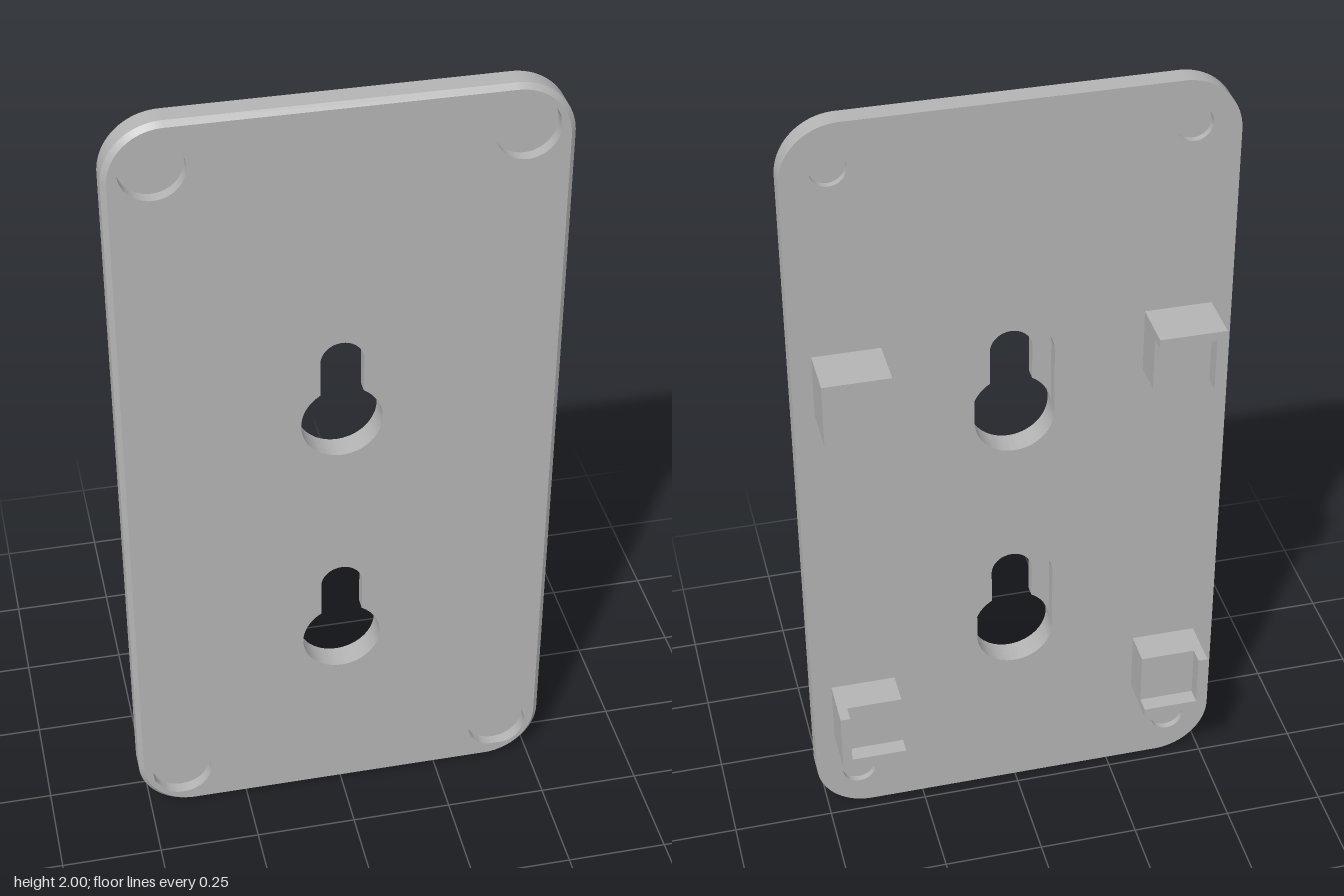
import * as THREE from 'three';
import { toCreasedNormals } from 'three/addons/utils/BufferGeometryUtils.js';

const HALF_W = 0.525, HEIGHT = 2, CORNER = 0.14, CHAMFER = 0.012;
const Z_BACK = 0.031, Z_FRONT = 0.094, Z_CLIP = -0.094;
const KEYHOLES = [0.495, 1.16];          // heights of the round keyhole ends
const SLOT_RISE = 0.172;                 // from round end to slot centre

// Rounded outline of the plate
function outline() {
  const s = new THREE.Shape(), x = HALF_W - CORNER, t = HEIGHT - CORNER, q = Math.PI / 2;
  s.absarc(x, CORNER, CORNER, -q, 0);
  s.absarc(x, t, CORNER, 0, q);
  s.absarc(-x, t, CORNER, q, 2 * q);
  s.absarc(-x, CORNER, CORNER, 2 * q, 3 * q);
  s.closePath();
  return s;
}

// Holes cut through a layer
function circle(x, y, r) {
  return new THREE.Path().absarc(x, y, r, 0, Math.PI * 2);
}
function slot(y, bigR, smallR) {
  const a = Math.acos(smallR / bigR), p = new THREE.Path();
  p.absarc(0, y + SLOT_RISE, smallR, 0, Math.PI);
  p.absarc(0, y, bigR, Math.PI - a, 2 * Math.PI + a);
  p.closePath();
  return p;
}
function cornerHoles(r) {
  return [-1, 1].flatMap(s => [0.112, HEIGHT - 0.112].map(y => circle(s * 0.415, y, r)));
}

// One slice of the plate, optionally chamfered along its front rim
function layer(z0, z1, holes, inset = 0) {
  const shape = outline();
  shape.holes.push(...holes);
  const g = new THREE.ExtrudeGeometry(shape, { depth: z1 - z0, bevelEnabled: false, curveSegments: 24 });
  g.translate(0, 0, z0);
  const p = g.attributes.position, cx = HALF_W - CORNER;
  for (let i = 0; i < p.count && inset; i++) {
    if (p.getZ(i) < z1 - 1e-4) continue;
    const x = p.getX(i), y = p.getY(i);
    const dx = x - THREE.MathUtils.clamp(x, -cx, cx);
    const dy = y - THREE.MathUtils.clamp(y, CORNER, HEIGHT - CORNER);
    const d = Math.hypot(dx, dy);
    if (d > CORNER - 1e-4) p.setXY(i, x - dx / d * inset, y - dy / d * inset);
  }
  return toCreasedNormals(g, 0.5);
}

export function createModel() {
  const model = new THREE.Group();
  model.name = 'wallPlate';
  const grey = new THREE.MeshStandardMaterial({ color: 0xb4b4b4 });
  grey.name = 'plain grey';
  const add = (name, geometry, parent = model) => {
    const m = new THREE.Mesh(geometry, grey);
    m.name = name;
    parent.add(m);
    return m;
  };

  // Plate: wide slots behind, keyholes and round pockets in front
  const wide = () => KEYHOLES.map(y => slot(y, 0.097, 0.0969));
  const front = () => [...KEYHOLES.map(y => slot(y, 0.097, 0.051)), ...cornerHoles(0.075)];
  const zPocket = 0.047, zLedge = 0.064, zRim = Z_FRONT - CHAMFER;
  add('plateBack', layer(Z_BACK, zPocket, [...wide(), ...cornerHoles(0.042)]));
  add('plateCore', layer(zPocket, zLedge, wide()));
  add('plateFront', layer(zLedge, zRim, front()));
  add('plateRim', layer(zRim, Z_FRONT, front(), CHAMFER));

  // Corner clips: a block with an L-shaped lip on its outer sides
  const half = 0.081, wall = 0.024, lip = 0.04;
  const baseDepth = Z_BACK - Z_CLIP - lip;
  for (const sx of [-1, 1]) for (const sy of [-1, 1]) {
    const clip = new THREE.Group();
    clip.name = (sy > 0 ? 'upper' : 'lower') + (sx > 0 ? 'Left' : 'Right') + 'Clip';
    clip.position.set(sx * 0.394, sy > 0 ? 1.328 : 0.324, 0);
    add('clipBlock', new THREE.BoxGeometry(2 * half, 2 * half, baseDepth), clip)
      .position.z = Z_BACK - baseDepth / 2;
    const i = half - wall;
    const pts = [[half, -half], [half, half], [-half, half], [-half, i], [i, i], [i, -half]];
    const shape = new THREE.Shape(pts.map(([x, y]) => new THREE.Vector2(x * sx, y * sy)));
    add('clipLip', new THREE.ExtrudeGeometry(shape, { depth: lip, bevelEnabled: false }), clip)
      .position.z = Z_CLIP;
    model.add(clip);
  }
  return model;
}
